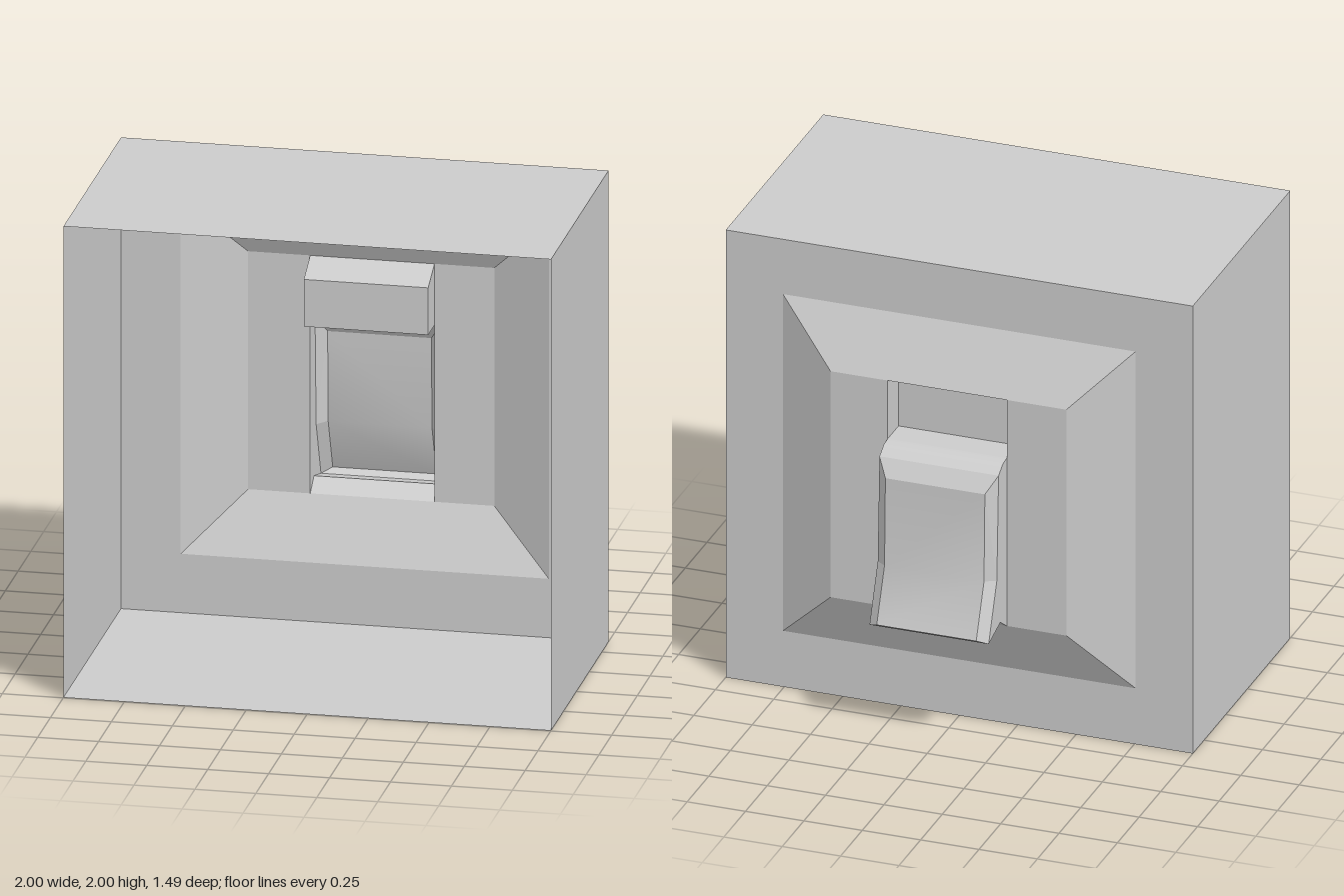
import * as THREE from 'three';

const gray = new THREE.MeshStandardMaterial({ color: 0xcccccc, side: THREE.DoubleSide });
gray.name = 'plainGray';

// Sheet through rows of points; smooth keeps shared normals
function sheet(name, rows, smooth = false) {
  const n = rows[0].length, index = [];
  for (let r = 0; r < rows.length - 1; r++) {
    for (let c = 0; c < n - 1; c++) {
      const a = r * n + c, b = a + 1, d = a + n, e = d + 1;
      index.push(a, d, b, b, d, e);
    }
  }
  let geo = new THREE.BufferGeometry();
  geo.setAttribute('position', new THREE.Float32BufferAttribute(rows.flat(2), 3));
  geo.setIndex(index);
  if (!smooth) geo = geo.toNonIndexed();
  geo.computeVertexNormals();
  const mesh = new THREE.Mesh(geo, gray);
  mesh.name = name;
  return mesh;
}

// Closed rectangular ring at depth z
const ring = (hx, y0, y1, z) =>
  [[-hx, y0, z], [-hx, y1, z], [hx, y1, z], [hx, y0, z], [-hx, y0, z]];

// Strip running across x between -w and +w, following [z, y] points
const MID = 0.005;
const across = (w, points) => points.map(([z, y]) => [[MID + w, y, z], [MID - w, y, z]]);

// Flat plate in the zy plane at a given x
function sidePlate(name, x, points) {
  const shape = new THREE.Shape(points.map(p => new THREE.Vector2(...p)));
  const mesh = new THREE.Mesh(new THREE.ShapeGeometry(shape).rotateY(-Math.PI / 2), gray);
  mesh.position.x = x;
  mesh.name = name;
  return mesh;
}

export function createModel() {
  const model = new THREE.Group();
  model.name = 'ventHousing';
  const W = 0.255, F = 0.213, PZ = -0.505, BZ = -0.38;

  // Open-fronted box with its raised back collar
  model.add(sheet('boxShell', [
    ring(1, 0, 2, 0.745), ring(1, 0, 2, BZ), ring(0.755, 0.25, 1.755, BZ), ring(0.505, 0.5, 1.51, PZ),
  ]));

  // Recess above the hood
  model.add(sheet('recess', across(W, [[PZ, 1.51], [BZ, 1.45], [BZ, 1.25], [PZ, 1.25]])));

  // Hood profiles as [z, y]
  const top = [[PZ, 1.25], [-0.55, 1.245], [-0.6, 1.215]];
  const edge = [[-0.6, 1.215], [-0.62, 0.755], [-0.715, 0.515]];
  const face = [[-0.645, 1.145], [-0.655, 0.76], [-0.745, 0.535]];
  const base = [[-0.715, 0.515], [-0.58, 0.55], [PZ, 0.5]];

  const hood = new THREE.Group();
  hood.name = 'hood';
  hood.add(sheet('hoodTop', across(W, top), true));
  hood.add(sheet('hoodFace', across(F, face), true));
  hood.add(sheet('hoodBase', across(W, base)));
  // Mitred end bevels at the crown and the lip
  hood.add(sheet('crownBevel', [across(W, [edge[0]])[0], across(F, [face[0]])[0]]));
  hood.add(sheet('lipBevel', [across(F, [face[2]])[0], across(W, [edge[2]])[0]]));
  model.add(hood);

  for (const s of [-1, 1]) {
    const x = MID + s * W, side = s > 0 ? 'left' : 'right';
    // Back plate beside the opening
    model.add(sheet(side + 'BackPlate', [
      [[s * 0.505, 1.51, PZ], [x, 1.51, PZ]], [[s * 0.505, 0.5, PZ], [x, 0.5, PZ]],
    ]));
    model.add(sidePlate(side + 'RecessWall', x, [[PZ, 1.51], [BZ, 1.45], [BZ, 1.25], [PZ, 1.25]]));
    hood.add(sidePlate(side + 'HoodWall', x, [...top, ...edge.slice(1), ...base.slice(1)]));
    hood.add(sheet(side + 'HoodBevel', edge.map(([z, y], i) =>
      [[x, y, z], [MID + s * F, face[i][1], face[i][0]]])));
  }
  return model;
}
